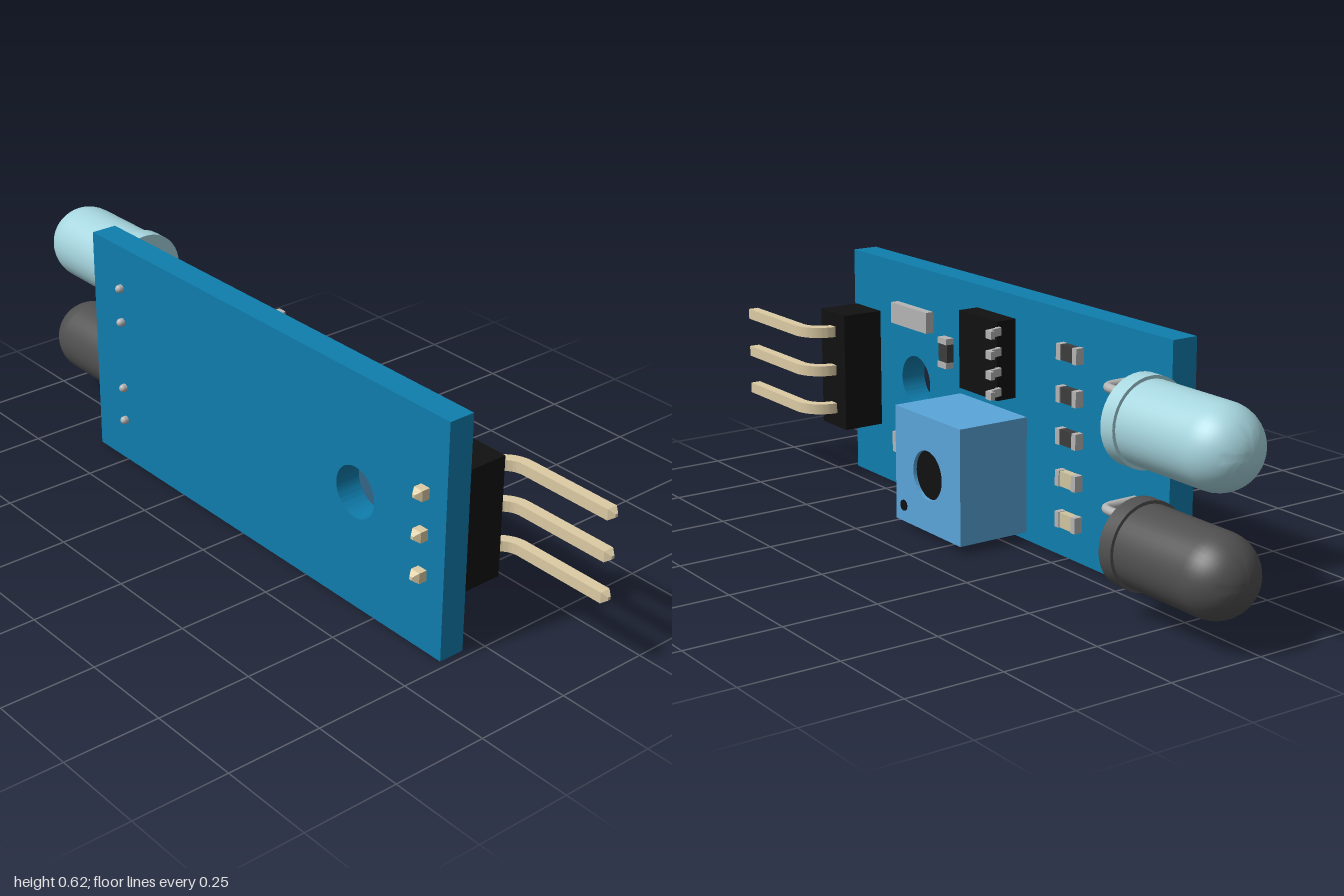
import * as THREE from 'three';
import { toCreasedNormals } from 'three/addons/utils/BufferGeometryUtils.js';

const paint = (color) => new THREE.MeshStandardMaterial({ color });
const MAT = {
  board: paint(0x0f7dad), clear: paint(0xa6d5de), dark: paint(0x505050),
  black: paint(0x111111), metal: paint(0xb4b4b4), gold: paint(0xdccba4),
  blue: paint(0x5aa5d9), chip: paint(0x3c3c3c), tan: paint(0xcfc3a0),
};
const FACE = 0.053; // z of the component side of the board

export function createModel() {
  const model = new THREE.Group();

  const add = (name, geometry, material, parent = model) => {
    const mesh = new THREE.Mesh(geometry, material);
    mesh.name = name;
    parent.add(mesh);
    return mesh;
  };
  const box = (name, x0, x1, y0, y1, z0, z1, material, parent) =>
    add(name, new THREE.BoxGeometry(x1 - x0, y1 - y0, z1 - z0), material, parent)
      .position.set((x0 + x1) / 2, (y0 + y1) / 2, (z0 + z1) / 2);

  // Rectangular plate in the xy plane with one round hole
  const drilledPlate = (x0, x1, y0, y1, z0, z1, hx, hy, r) => {
    const shape = new THREE.Shape();
    shape.moveTo(x0, y0).lineTo(x1, y0).lineTo(x1, y1).lineTo(x0, y1).closePath();
    shape.holes.push(new THREE.Path().absarc(hx, hy, r, 0, Math.PI * 2, true));
    const geo = new THREE.ExtrudeGeometry(shape, { depth: z1 - z0, bevelEnabled: false, curveSegments: 32 });
    return toCreasedNormals(geo.translate(0, 0, z0), 0.6);
  };

  // Side profile drawn as (x, -z), given a thickness along y and centred on y = 0
  const sideExtrude = (shape, thickness) => {
    const geo = new THREE.ExtrudeGeometry(shape, { depth: thickness, bevelEnabled: false, curveSegments: 10 });
    return toCreasedNormals(geo.translate(0, 0, -thickness / 2).rotateX(-Math.PI / 2), 0.6);
  };

  // Circuit board with mounting hole
  add('board', drilledPlate(-0.625, 0.73, 0, 0.62, FACE, 0.123, 0.425, 0.31, 0.067), MAT.board);

  // Pair of domed diodes, each with a rim and two bent leads
  const profile = [[0, 0], [0.108, 0], [0.108, 0.042], [0.1, 0.042], [0.1, 0.27]]
    .map(([r, h]) => new THREE.Vector2(r, h));
  for (let i = 1; i <= 12; i++) {
    const a = (i / 12) * Math.PI / 2;
    profile.push(new THREE.Vector2(i === 12 ? 0 : 0.1 * Math.cos(a), 0.27 + 0.1 * Math.sin(a)));
  }
  const bulb = toCreasedNormals(new THREE.LatheGeometry(profile, 40).rotateZ(Math.PI / 2), 0.6);

  const v = (x, z) => new THREE.Vector3(x, 0, z);
  const leadPath = new THREE.CurvePath();
  leadPath.add(new THREE.LineCurve3(v(-0.64, -0.048), v(-0.535, -0.048)));
  leadPath.add(new THREE.QuadraticBezierCurve3(v(-0.535, -0.048), v(-0.503, -0.048), v(-0.503, -0.016)));
  leadPath.add(new THREE.LineCurve3(v(-0.503, -0.016), v(-0.503, 0.13)));
  const leadTube = new THREE.TubeGeometry(leadPath, 40, 0.011, 10);

  for (const [name, y, material] of [['emitter', 0.455, MAT.clear], ['receiver', 0.167, MAT.dark]]) {
    const diode = new THREE.Group();
    diode.name = name;
    diode.position.y = y;
    model.add(diode);
    add(name + 'Bulb', bulb, material, diode).position.set(-0.63, 0, -0.047);
    for (const side of [-1, 1]) {
      add(name + 'Lead', leadTube, MAT.metal, diode).position.y = side * 0.048;
      add(name + 'LeadTip', new THREE.SphereGeometry(0.011, 10, 8), MAT.metal, diode)
        .position.set(-0.503, side * 0.048, 0.13);
    }
  }

  // Pin header: block and three square pins bent through a right angle
  box('headerBlock', 0.6, 0.72, 0.152, 0.47, -0.062, FACE, MAT.black);
  const h = 0.014, R = 0.068;
  const pinShape = new THREE.Shape();
  pinShape.moveTo(0.66 - h, -0.145).lineTo(0.66 - h, 0.06);
  pinShape.absarc(0.66 + R, 0.06, R + h, Math.PI, Math.PI / 2, true);
  pinShape.lineTo(0.985, 0.06 + R + h).lineTo(0.985, 0.06 + R - h);
  pinShape.lineTo(0.66 + R, 0.06 + R - h);
  pinShape.absarc(0.66 + R, 0.06, R - h, Math.PI / 2, Math.PI, false);
  pinShape.lineTo(0.66 + h, -0.145).closePath();
  const pinGeo = sideExtrude(pinShape, 2 * h);
  const tipGeo = toCreasedNormals(
    new THREE.CylinderGeometry(0.006, h * Math.SQRT2, 0.014, 4).rotateY(Math.PI / 4), 0.3);
  for (const y of [0.204, 0.311, 0.418]) {
    add('headerPin', pinGeo, MAT.gold).position.y = y;
    const outer = add('pinTip', tipGeo, MAT.gold);
    outer.position.set(0.992, y, -0.06 - R);
    outer.rotation.z = -Math.PI / 2;
    const solder = add('pinTip', tipGeo, MAT.gold);
    solder.position.set(0.66, y, 0.152);
    solder.rotation.x = Math.PI / 2;
  }

  // Trimmer: block with a round recessed dial and a marker dot
  add('trimmerBody', drilledPlate(-0.075, 0.215, 0.02, 0.32, -0.148, FACE, 0.07, 0.168, 0.064), MAT.blue);
  const disc = (name, r, x, y, z0, z1) =>
    add(name, new THREE.CylinderGeometry(r, r, z1 - z0, 28).rotateX(Math.PI / 2), MAT.black)
      .position.set(x, y, (z0 + z1) / 2);
  disc('trimmerDial', 0.064, 0.07, 0.168, -0.138, 0.05);
  disc('trimmerMarker', 0.014, 0.178, 0.063, -0.151, -0.14);

  // Eight-legged chip
  box('chipBody', -0.035, 0.13, 0.362, 0.563, -0.009, FACE - 0.006, MAT.black);
  const legShape = new THREE.Shape([
    [0, -0.004], [0.012, -0.004], [0.02, -0.041], [0.036, -0.041],
    [0.036, -0.053], [0.012, -0.053], [0.005, -0.016], [0, -0.016],
  ].map(([x, s]) => new THREE.Vector2(x, s)));
  const legGeo = sideExtrude(legShape, 0.02);
  for (let i = 0; i < 4; i++) {
    for (const side of [-1, 1]) {
      const leg = add('chipLeg', legGeo, MAT.metal);
      leg.position.set(side > 0 ? 0.13 : -0.035, 0.54 - i * 0.051, 0);
      leg.rotation.y = side > 0 ? 0 : Math.PI;
    }
  }

  // Small surface parts: two metal end caps around a slightly lower middle
  const chipPart = (name, x, y, middle, turned) => {
    const part = new THREE.Group();
    part.name = name;
    part.position.set(x, y, 0);
    if (turned) part.rotation.z = Math.PI / 2;
    model.add(part);
    box(name + 'Middle', -0.025, 0.025, -0.019, 0.019, 0.033, FACE, middle, part);
    for (const s of [-1, 1])
      box(name + 'Cap', s * 0.032 - 0.008, s * 0.032 + 0.008, -0.02, 0.02, 0.03, FACE, MAT.metal, part);
  };
  for (let i = 0; i < 5; i++)
    chipPart(i < 3 ? 'resistor' : 'capacitor', -0.262, 0.52 - i * 0.105, i < 3 ? MAT.chip : MAT.tan);
  chipPart('resistor', 0.267, 0.42, MAT.chip, true);

  // Two long indicator lamps beside the hole
  for (const y of [0.485, 0.127])
    box('indicator', 0.34, 0.51, y - 0.028, y + 0.028, 0.03, FACE, MAT.metal);

  return model;
}
